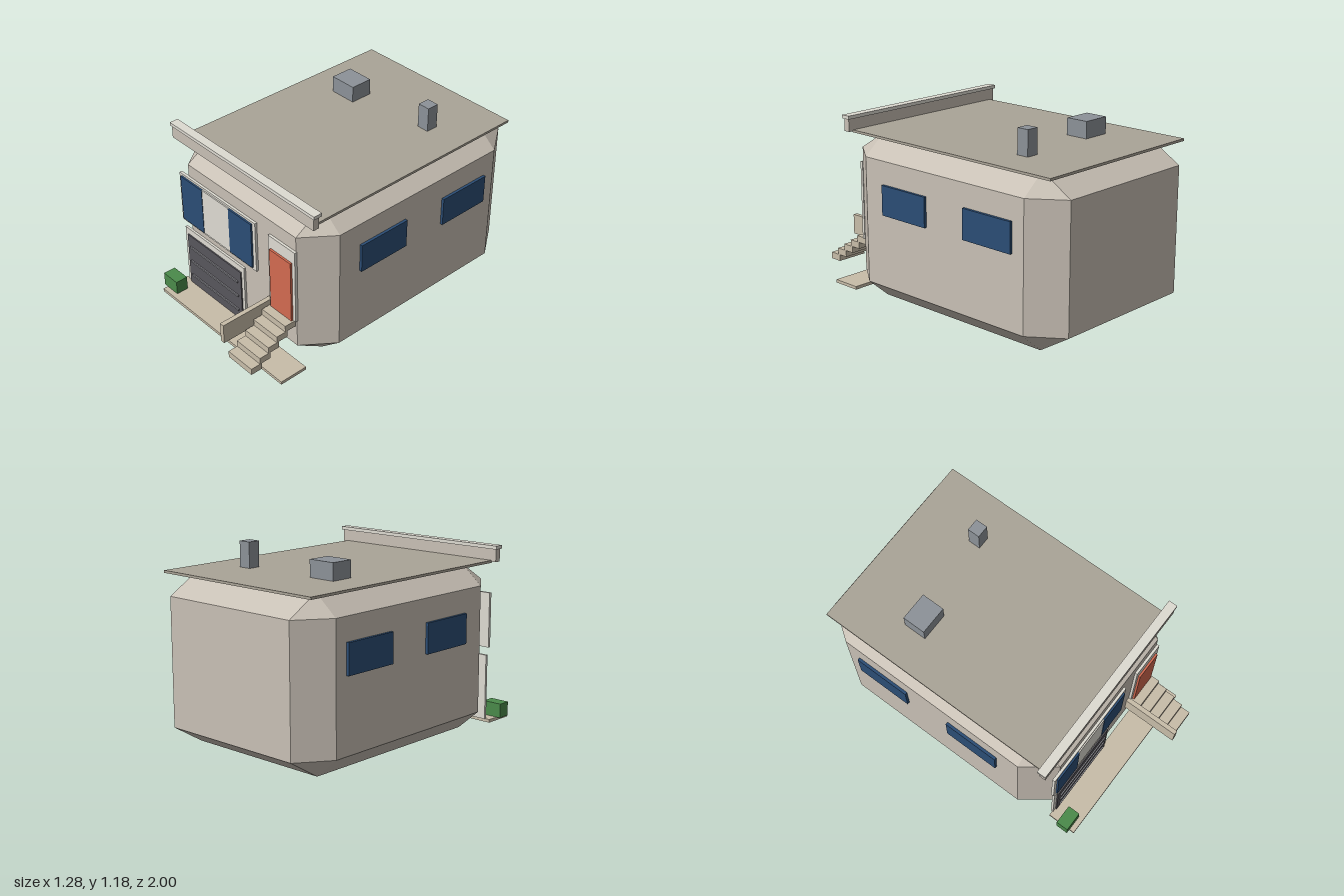
import * as THREE from 'three';
import { ConvexGeometry } from 'three/addons/geometries/ConvexGeometry.js';

const COLORS = {
  wall: 0xc8c0b5, roof: 0xaaa497, trim: 0xdedbd2, glass: 0x2b4d75, door: 0xd26a50,
  garage: 0x58565c, slat: 0x84848a, unit: 0x8c9298, bush: 0x4a8a4a, stone: 0xc8bda9,
};

export function createModel() {
  const house = new THREE.Group();
  house.name = 'house';
  const mats = {};
  for (const [key, color] of Object.entries(COLORS)) {
    mats[key] = new THREE.MeshStandardMaterial({ color, flatShading: true });
  }

  // Box given by its extents along x, y and z
  function box(name, mat, [x0, x1], [y0, y1], [z0, z1], parent = house) {
    const mesh = new THREE.Mesh(new THREE.BoxGeometry(x1 - x0, y1 - y0, z1 - z0), mats[mat]);
    mesh.position.set((x0 + x1) / 2, (y0 + y1) / 2, (z0 + z1) / 2);
    mesh.name = name;
    parent.add(mesh);
    return mesh;
  }

  function group(name) {
    const g = new THREE.Group();
    g.name = name;
    house.add(g);
    return g;
  }

  // Body: a box with every edge and corner chamfered
  const outer = { x: 0.622, y: [0, 1.02], z: [-1, 0.64] };
  const inner = { x: 0.478, y: [0.125, 0.9], z: [-0.8, 0.447] };
  const corners = [];
  for (const s of [-1, 1]) {
    for (const i of [0, 1]) {
      for (const k of [0, 1]) {
        corners.push(
          new THREE.Vector3(s * outer.x, inner.y[i], inner.z[k]),
          new THREE.Vector3(s * inner.x, outer.y[i], inner.z[k]),
          new THREE.Vector3(s * inner.x, inner.y[i], outer.z[k]),
        );
      }
    }
  }
  const body = new THREE.Mesh(new ConvexGeometry(corners), mats.wall);
  body.name = 'body';
  house.add(body);

  // Roof slab, front parapet and rooftop units
  box('roof', 'roof', [-0.587, 0.587], [1.015, 1.03], [-0.95, 0.6]);
  box('parapet', 'wall', [-0.618, 0.618], [1.022, 1.1], [0.595, 0.635]);
  box('parapetCap', 'trim', [-0.628, 0.628], [1.1, 1.121], [0.585, 0.641]);
  box('roofVent', 'unit', [-0.366, -0.188], [1.03, 1.133], [-0.55, -0.405]);
  box('chimney', 'unit', [0.27, 0.349], [1.03, 1.184], [-0.58, -0.503]);

  // Side windows, mirrored
  for (const s of [-1, 1]) {
    for (const z of [[-0.06, 0.295], [-0.718, -0.36]]) {
      const x = s > 0 ? [0.615, 0.639] : [-0.639, -0.615];
      box('sideWindow', 'glass', x, [0.576, 0.759], z);
    }
  }

  // Front window with a pale centre panel
  const win = group('frontWindow');
  box('windowFrame', 'trim', [-0.547, 0.147], [0.479, 0.82], [0.638, 0.656], win);
  box('windowPane', 'glass', [-0.525, -0.325], [0.498, 0.806], [0.645, 0.667], win);
  box('windowPane', 'glass', [-0.08, 0.123], [0.498, 0.806], [0.645, 0.667], win);
  box('windowPanel', 'trim', [-0.325, -0.08], [0.498, 0.806], [0.645, 0.664], win);

  // Front door
  const entry = group('entry');
  box('doorFrame', 'trim', [0.26, 0.485], [0.315, 0.807], [0.638, 0.656], entry);
  box('door', 'door', [0.282, 0.462], [0.315, 0.726], [0.645, 0.669], entry);

  // Garage door with three slats
  const garage = group('garage');
  box('garageFrame', 'trim', [-0.531, 0.026], [0.02, 0.428], [0.638, 0.654], garage);
  box('garageDoor', 'garage', [-0.504, 0.003], [0.02, 0.387], [0.645, 0.662], garage);
  for (const y of [0.09, 0.197, 0.304]) {
    box('garageSlat', 'slat', [-0.479, -0.023], [y - 0.006, y + 0.006], [0.655, 0.67], garage);
  }

  // Open stair: five overlapping treads, with a low side wall
  const stair = group('stair');
  for (let i = 0; i < 5; i++) {
    const y = 0.105 + i * 0.042;
    const z = 0.9 - i * 0.0635;
    box('step', 'stone', [0.27, 0.473], [y, y + 0.042], [z, z + 0.078], stair);
  }
  box('stairWall', 'stone', [0.235, 0.264], [0.218, 0.346], [0.638, 1], stair);

  // Paving and planting
  box('walkway', 'stone', [-0.56, 0.56], [0, 0.02], [0.648, 0.835]);
  box('bush', 'bush', [-0.588, -0.462], [0.02, 0.109], [0.722, 0.802]);

  return house;
}
